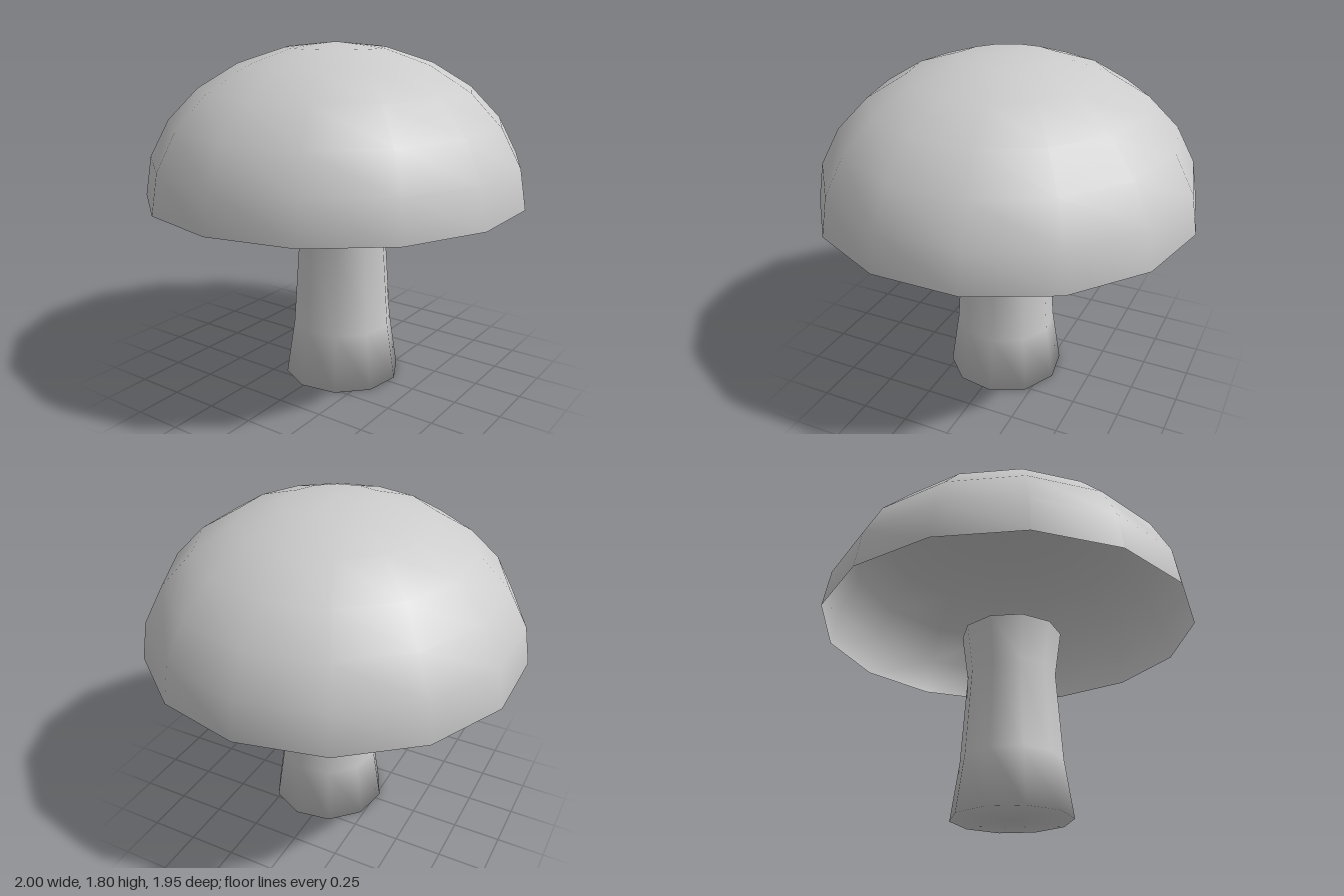
import * as THREE from 'three';

const material = new THREE.MeshStandardMaterial({ color: 0xcccccc, side: THREE.DoubleSide });

function part(name, geometry) {
  const mesh = new THREE.Mesh(geometry, material);
  mesh.name = name;
  return mesh;
}

export function createModel() {
  const group = new THREE.Group();
  group.name = 'mushroom';

  // Hollow cap: an open, slightly flattened hemisphere with 14 sides
  const capGeometry = new THREE.SphereGeometry(1, 14, 6, 0, Math.PI * 2, 0, Math.PI / 2);
  capGeometry.scale(1, 0.787, 1);
  const cap = part('cap', capGeometry);
  cap.position.y = 1.013;
  group.add(cap);

  // Stem: waisted, 10 sides, closed at the foot, set slightly forward
  const profile = [[0, 0], [0.313, 0], [0.268, 0.3], [0.236, 0.77], [0.27, 1.013]]
    .map(([r, y]) => new THREE.Vector2(r, y));
  const stem = part('stem', new THREE.LatheGeometry(profile, 10));
  stem.rotation.y = Math.PI / 20;
  stem.position.set(0.005, 0, 0.043);
  group.add(stem);

  return group;
}
